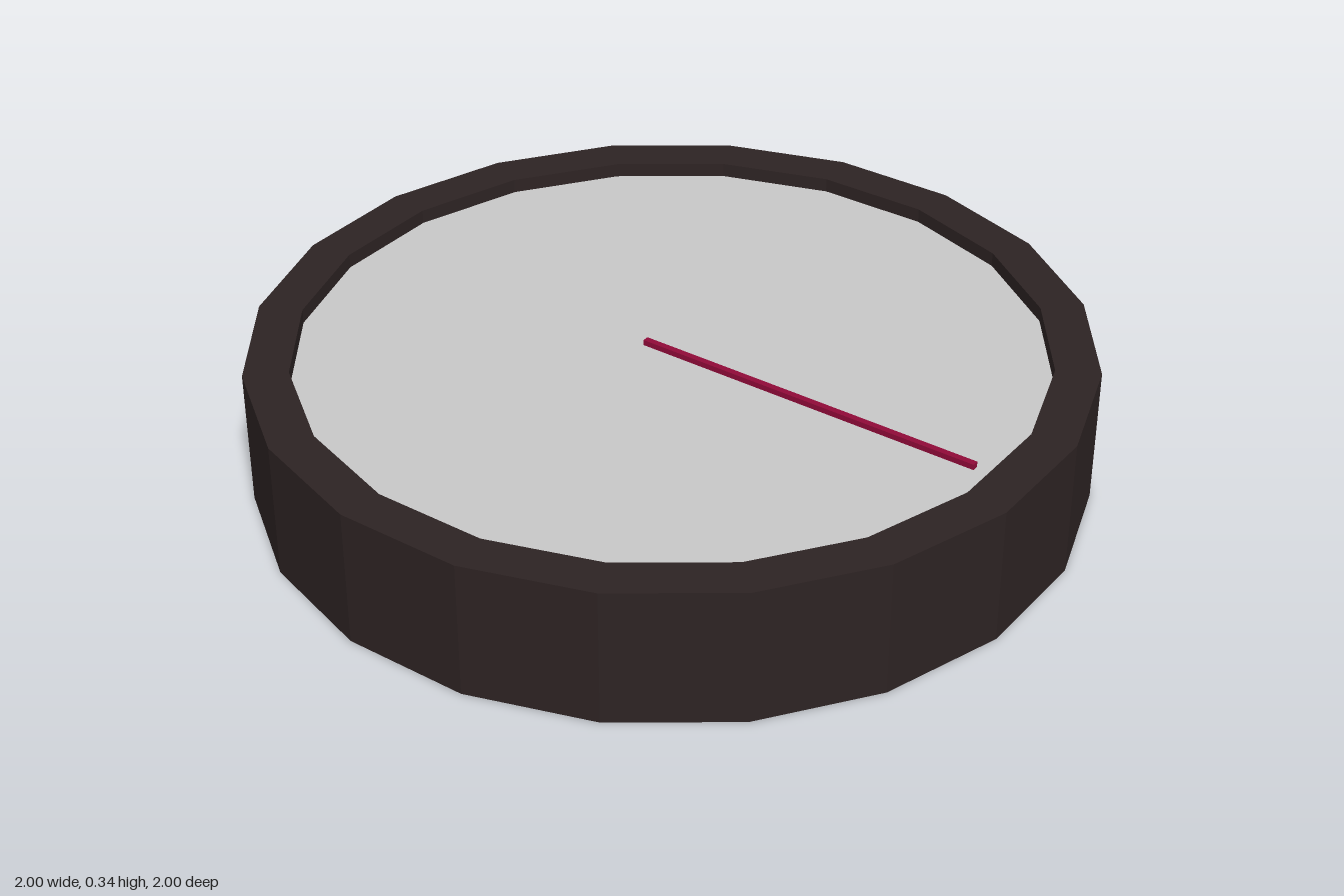
import * as THREE from 'three';

const SIDES = 20;
const HALF_STEP = Math.PI / SIDES;
const HEIGHT = 0.343;
const DIAL_Y = 0.307;
// Corner radii for given distances to the flat sides
const OUTER = 1 / Math.cos(HALF_STEP);
const INNER = 0.893 / Math.cos(HALF_STEP);

function material(name, color) {
  const m = new THREE.MeshStandardMaterial({ color });
  m.name = name;
  m.flatShading = true;
  return m;
}

function addPart(group, name, geometry, mat) {
  const mesh = new THREE.Mesh(geometry, mat);
  mesh.name = name;
  group.add(mesh);
  return mesh;
}

export function createModel() {
  const group = new THREE.Group();
  group.name = 'dial';
  const frameDark = material('frameDark', 0x2d2323);
  const faceGrey = material('faceGrey', 0xc8c8c8);
  const handCrimson = material('handCrimson', 0x900a38);

  // Twenty-sided case: closed base, outer wall, rim and inner wall
  const profile = [[0, 0], [OUTER, 0], [OUTER, HEIGHT], [INNER, HEIGHT], [INNER, DIAL_Y]]
    .map(([x, y]) => new THREE.Vector2(x, y));
  addPart(group, 'case', new THREE.LatheGeometry(profile, SIDES, HALF_STEP), frameDark);

  // Recessed face
  const face = new THREE.CircleGeometry(INNER, SIDES, HALF_STEP).rotateX(-Math.PI / 2);
  addPart(group, 'face', face, faceGrey).position.y = DIAL_Y;

  // Thin hand pointing to the front, with a short tail past the centre
  const hand = addPart(group, 'hand', new THREE.BoxGeometry(0.016, 0.014, 0.91), handCrimson);
  hand.position.set(-0.004, DIAL_Y + 0.007, 0.38);

  return group;
}
